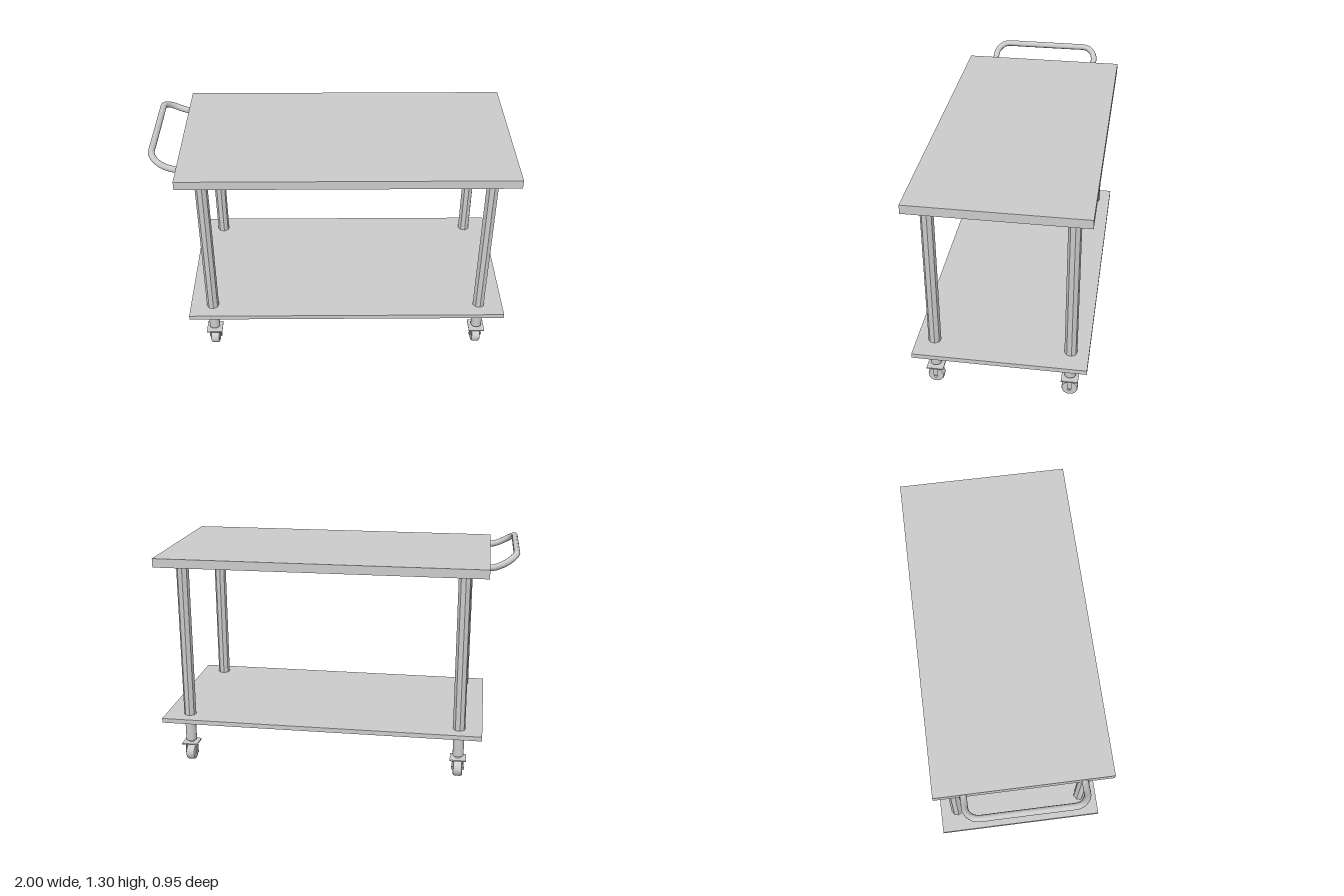
import * as THREE from 'three';

const smooth = new THREE.MeshStandardMaterial({ color: 0xcccccc });
const flat = new THREE.MeshStandardMaterial({ color: 0xcccccc, flatShading: true });

function add(parent, name, geometry, material, x = 0, y = 0, z = 0) {
  const mesh = new THREE.Mesh(geometry, material);
  mesh.name = name;
  mesh.position.set(x, y, z);
  parent.add(mesh);
  return mesh;
}

// Swivel caster standing on y = 0, rolling along z
function createCaster() {
  const caster = new THREE.Group();
  caster.name = 'caster';
  add(caster, 'stem', new THREE.CylinderGeometry(0.015, 0.015, 0.03, 16), smooth, 0, 0.122, 0);
  add(caster, 'mountingPlate', new THREE.BoxGeometry(0.092, 0.007, 0.094), flat, 0, 0.112, 0);

  // Wheel with chamfered tread
  const profile = [[0, -0.026], [0.036, -0.026], [0.042, -0.023], [0.045, -0.016],
    [0.045, 0.016], [0.042, 0.023], [0.036, 0.026], [0, 0.026]];
  const wheel = add(caster, 'wheel',
    new THREE.LatheGeometry(profile.map(([r, y]) => new THREE.Vector2(r, y)), 32), flat, 0, 0.048, 0);
  wheel.rotation.z = Math.PI / 2;

  // Fork arms taper from the plate down to a rounded axle eye
  const arm = new THREE.Shape();
  arm.moveTo(-0.016, 0.11);
  arm.lineTo(-0.011, 0.048);
  arm.absarc(0, 0.048, 0.011, Math.PI, Math.PI * 2, false);
  arm.lineTo(0.016, 0.11);
  arm.closePath();
  const armGeometry = new THREE.ExtrudeGeometry(arm, { depth: 0.005, bevelEnabled: false, curveSegments: 10 });
  armGeometry.translate(0, 0, -0.0025).rotateY(Math.PI / 2);
  for (const side of [-1, 1]) add(caster, 'forkArm', armGeometry, flat, side * 0.031, 0, 0);

  const axle = add(caster, 'axle', new THREE.CylinderGeometry(0.008, 0.008, 0.074, 12), smooth, 0, 0.048, 0);
  axle.rotation.z = Math.PI / 2;
  return caster;
}

// Push handle: rounded U in plan that curls upward away from the table
function createHandle(parent) {
  const lift = (x) => 1.213 + 0.069 * Math.pow(Math.max(0, (-0.84 - x) / 0.142), 1.6);
  const half = [[-0.83, 0.317], [-0.86, 0.317], [-0.89, 0.317]];
  for (let i = 0; i <= 6; i++) {
    const a = (i / 6) * Math.PI / 2;
    half.push([-0.907 - 0.075 * Math.sin(a), 0.242 + 0.075 * Math.cos(a)]);
  }
  half.push([-0.982, 0.16]);
  const plan = [...half, ...half.map(([x, z]) => [x, -z]).reverse()];
  const path = new THREE.CatmullRomCurve3(plan.map(([x, z]) => new THREE.Vector3(x, lift(x), z)));
  add(parent, 'pushHandle', new THREE.TubeGeometry(path, 90, 0.018, 10), smooth);
}

export function createModel() {
  const cart = new THREE.Group();
  cart.name = 'serviceCart';

  // Shelves
  add(cart, 'topShelf', new THREE.BoxGeometry(1.842, 0.05, 0.95), flat, 0.079, 1.214, 0);
  add(cart, 'lowerShelf', new THREE.BoxGeometry(1.842, 0.026, 0.95), flat, 0.079, 0.277, 0);

  // Octagonal posts, round feet and casters at the corners
  const postGeometry = new THREE.CylinderGeometry(0.035, 0.035, 0.9, 8, 1, false, Math.PI / 18);
  const footGeometry = new THREE.CylinderGeometry(0.031, 0.031, 0.137, 24);
  for (const x of [-0.712, 0.861]) {
    for (const z of [-0.376, 0.376]) {
      add(cart, 'post', postGeometry, flat, x, 0.74, z);
      add(cart, 'foot', footGeometry, smooth, x, 0.198, z);
      const caster = createCaster();
      caster.position.set(x, 0, z);
      cart.add(caster);
    }
  }

  createHandle(cart);
  return cart;
}
